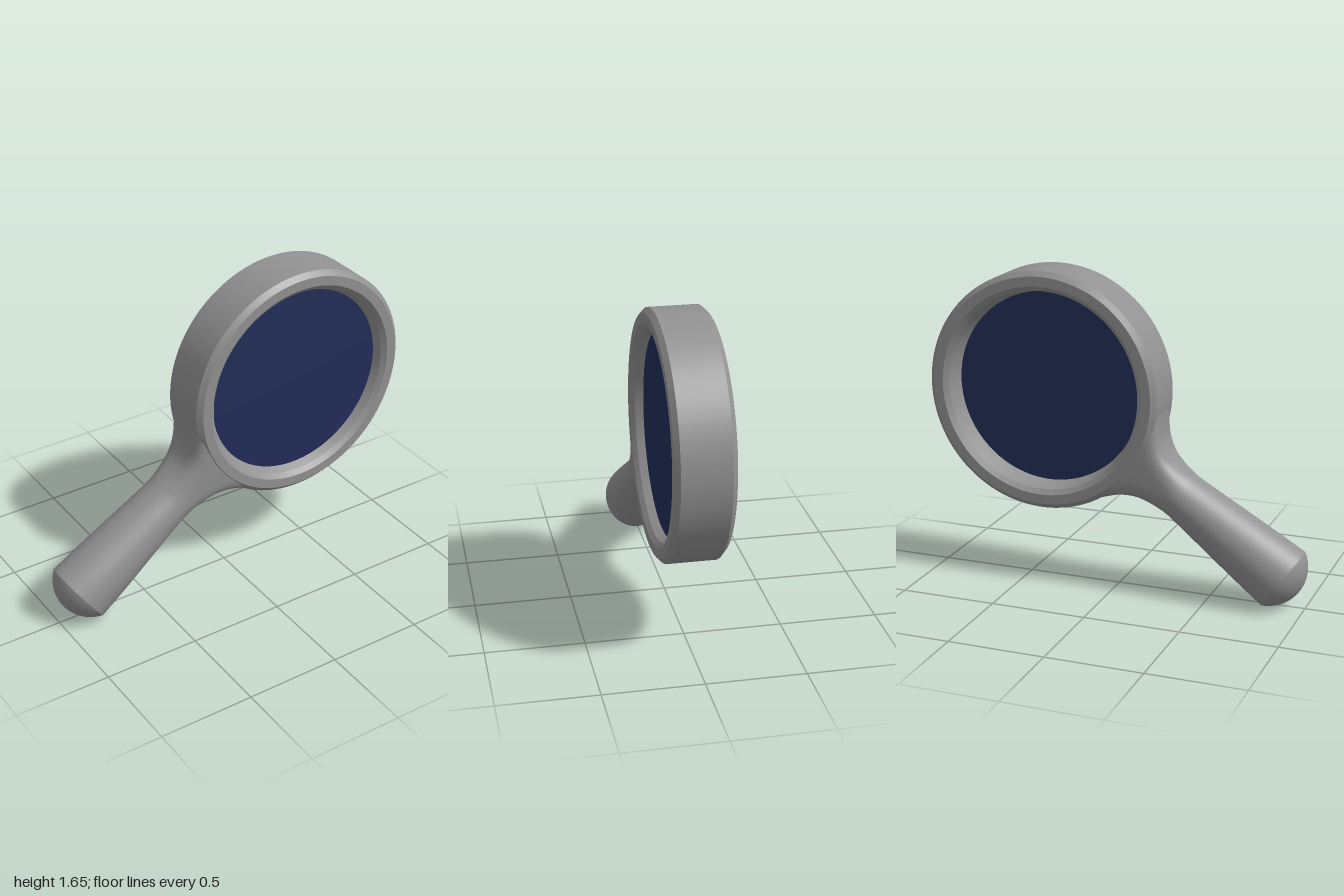
import * as THREE from 'three';
import { toCreasedNormals } from 'three/addons/utils/BufferGeometryUtils.js';

const grey = new THREE.MeshStandardMaterial({ color: 0x929292 });
grey.name = 'grey plastic';
const blue = new THREE.MeshStandardMaterial({ color: 0x222e59 });
blue.name = 'dark blue glass';

const part = (name, geometry, material) => {
  const mesh = new THREE.Mesh(geometry, material);
  mesh.name = name;
  return mesh;
};

// Loft along x; each station is [x, half width, half depth]
function handleGeometry(stations) {
  const curve = new THREE.CatmullRomCurve3(
    stations.map((s) => new THREE.Vector3(...s)), false, 'centripetal');
  const rows = 72, sides = 64, positions = [], index = [];
  for (let i = 0; i <= rows; i++) {
    const p = curve.getPoint(i / rows);
    // The section turns from round to a rounded box where it meets the ring
    const n = 2 + 3 * THREE.MathUtils.smoothstep(p.x, -0.9, -0.56);
    const round = (v) => Math.sign(v) * Math.abs(v) ** (2 / n);
    for (let j = 0; j < sides; j++) {
      const t = (j / sides) * Math.PI * 2;
      positions.push(p.x, p.y * round(Math.cos(t)), p.z * round(Math.sin(t)));
      if (i === rows) continue;
      const a = i * sides + j, c = i * sides + ((j + 1) % sides);
      index.push(a, c, a + sides, c, c + sides, a + sides);
    }
  }
  const g = new THREE.BufferGeometry();
  g.setAttribute('position', new THREE.Float32BufferAttribute(positions, 3));
  g.setIndex(index);
  g.computeVertexNormals();
  return g;
}

export function createModel() {
  const model = new THREE.Group();
  model.name = 'magnifyingGlass';

  // Tilted frame: origin at the lens centre, handle towards -x
  const body = new THREE.Group();
  body.name = 'body';
  body.position.set(0.378, 1.028, 0);
  body.rotation.z = THREE.MathUtils.degToRad(35.1);
  model.add(body);

  // Ring with chamfered rims and a seat for the lens
  const profile = [
    [0.545, -0.147], [0.595, -0.147], [0.621, -0.122], [0.621, 0.122],
    [0.595, 0.147], [0.545, 0.147], [0.52, 0.125], [0.5, 0.085],
    [0.5, -0.02], [0.52, -0.125], [0.545, -0.147],
  ].map(([r, z]) => new THREE.Vector2(r, z));
  const ring = new THREE.LatheGeometry(profile, 96).rotateX(Math.PI / 2);
  body.add(part('ring', toCreasedNormals(ring, 0.35), grey));

  // Lens
  const lens = new THREE.CylinderGeometry(0.505, 0.505, 0.105, 96).rotateX(Math.PI / 2);
  lens.translate(0, 0, 0.0325);
  body.add(part('lens', lens, blue));

  // Tapered handle flaring into the ring
  body.add(part('handle', handleGeometry([
    [-1.54, 0.177, 0.165], [-1.38, 0.165, 0.162], [-1.2, 0.15, 0.153],
    [-1.02, 0.134, 0.144], [-0.87, 0.123, 0.137], [-0.78, 0.124, 0.135],
    [-0.72, 0.135, 0.136], [-0.67, 0.159, 0.138], [-0.63, 0.19, 0.141],
    [-0.6, 0.223, 0.143], [-0.57, 0.262, 0.145], [-0.547, 0.293, 0.146],
  ]), grey));

  // Domed handle end
  const radius = 0.203, rim = 0.177;
  const angle = Math.asin(rim / radius);
  const dome = new THREE.SphereGeometry(radius, 64, 16, 0, Math.PI * 2, 0, angle);
  dome.translate(0, -radius * Math.cos(angle), 0).rotateZ(Math.PI / 2);
  dome.scale(1, 1, 0.165 / rim).translate(-1.54, 0, 0);
  body.add(part('handleEnd', dome, grey));

  return model;
}
